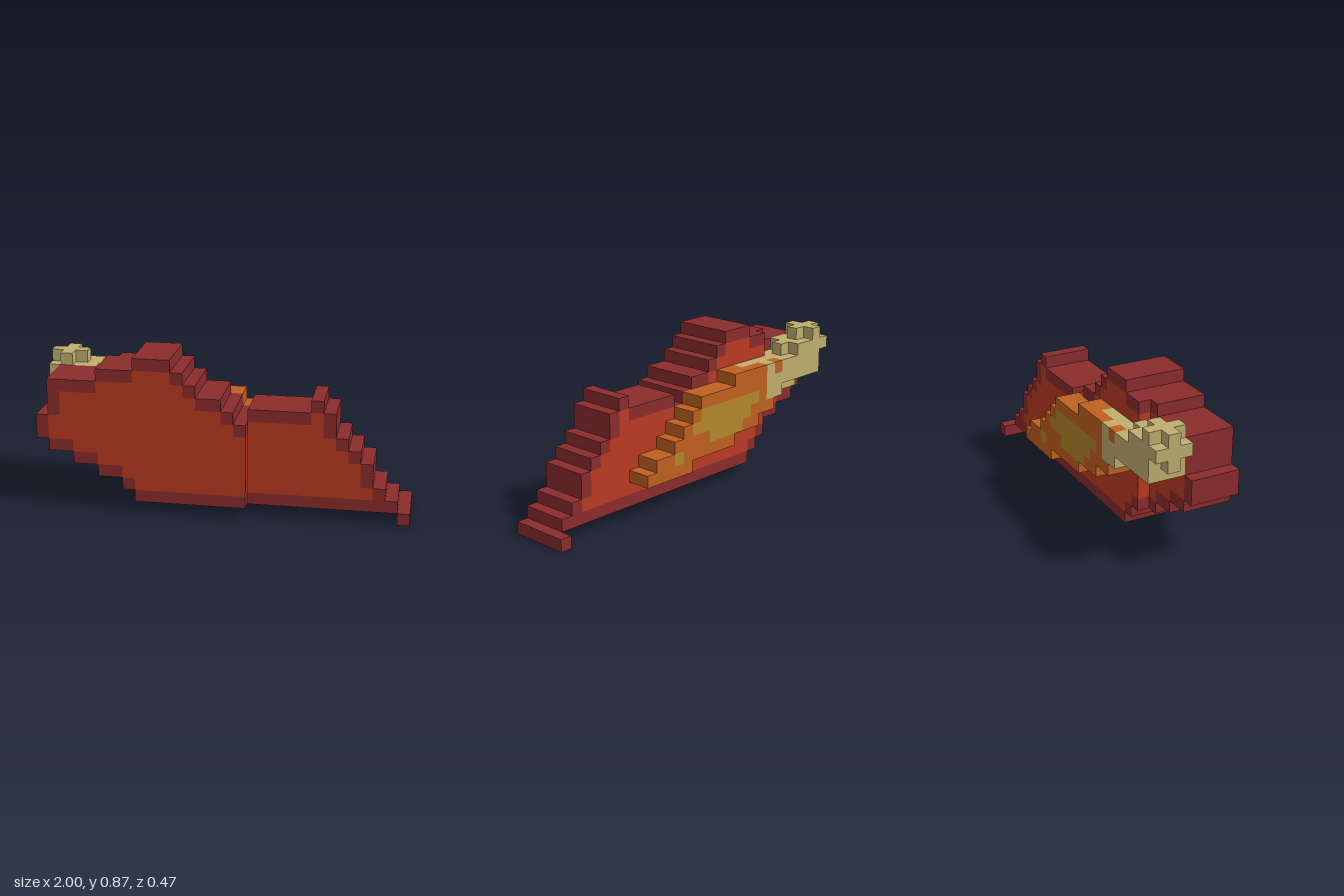
import * as THREE from 'three';
import { mergeGeometries } from 'three/addons/utils/BufferGeometryUtils.js';

const U = 1 / 15; // cell size
const ORIGIN = new THREE.Vector3(-1, 0, -3.5 * U);

const paint = (name, color) => {
  const m = new THREE.MeshStandardMaterial({ color });
  m.name = name;
  return m;
};

// Expand [first, last, bottom, top] runs into a per-column lookup
function columns(runs) {
  const out = {};
  for (const [a, b, lo, hi] of runs) for (let i = a; i <= b; i++) out[i] = [lo, hi];
  return out;
}

// Six face directions, each with the rotation that turns a +z plane towards it
const FACES = [
  [1, 0, 0, 0, Math.PI / 2], [-1, 0, 0, 0, -Math.PI / 2],
  [0, 1, 0, -Math.PI / 2, 0], [0, -1, 0, Math.PI / 2, 0],
  [0, 0, 1, 0, 0], [0, 0, -1, 0, Math.PI],
];

export function createModel() {
  const mats = {
    border: paint('dark red', 0x8b2c2d),
    panel: paint('red', 0xbb3a22),
    blade: paint('orange', 0xc06020),
    inlay: paint('gold', 0xb38728),
    handle: paint('tan', 0xbfae6f),
  };
  const cells = new Map();
  const put = (i, j, k, part) => cells.set(`${i},${j},${k}`, { i, j, k, part });

  // Main body: stepped outline, dark rim around a red panel
  const body = columns([
    [0, 0, 6, 8], [1, 2, 5, 11], [3, 4, 4, 11], [5, 5, 3, 12], [6, 6, 3, 12],
    [7, 7, 2, 12], [8, 10, 1, 13], [11, 11, 1, 12], [12, 12, 1, 11],
    [13, 14, 1, 10], [15, 15, 1, 9], [16, 16, 1, 8], [17, 21, 1, 9],
    [22, 22, 1, 10], [23, 23, 1, 9], [24, 24, 1, 7], [25, 25, 1, 6],
    [26, 26, 1, 5], [27, 27, 1, 3], [28, 28, 1, 2], [29, 29, 0, 1],
  ]);
  const inBody = (i, j) => !!body[i] && j >= body[i][0] && j < body[i][1];
  for (let i = 0; i < 30; i++) {
    const k0 = i < 6 ? 3 : i === 29 ? 1 : 2;
    const k1 = i < 17 ? 6 : 5;
    for (let j = body[i][0]; j < body[i][1]; j++) {
      const inner = inBody(i - 1, j) && inBody(i + 1, j) && inBody(i, j - 1) && inBody(i, j + 1);
      for (let k = k0; k <= k1; k++) put(i, j, k, inner ? 'panel' : 'border');
    }
  }

  // Blade on the back, two cells thick
  const blade = columns([
    [6, 6, 7, 10], [7, 8, 6, 10], [9, 11, 5, 10], [12, 15, 4, 9], [16, 16, 4, 8],
    [17, 17, 3, 8], [18, 18, 3, 7], [19, 20, 3, 5], [21, 21, 3, 4],
  ]);
  blade[15] = [4, 9];
  blade[17] = [3, 7];
  blade[18] = [3, 6];
  for (let i = 6; i <= 21; i++)
    for (let j = blade[i][0]; j < blade[i][1]; j++)
      for (let k = 0; k < 2; k++) put(i, j, k, 'blade');

  // Gold inlay on the outer blade face: [row, first, last]
  for (const [j, a, b] of [[7, 9, 15], [6, 10, 16], [5, 11, 14], [4, 18, 18]])
    for (let i = a; i <= b; i++) put(i, j, 0, 'inlay');

  // Tan collar cells where handle meets blade
  for (const [i, j, k] of [[6, 7, 0], [6, 8, 0], [7, 8, 0], [7, 9, 0], [6, 9, 1], [7, 9, 1], [8, 9, 1], [9, 9, 1], [7, 7, 0]])
    put(i, j, k, 'handle');

  // Handle: layers rising towards the end, topped by a cross
  for (const [j, a, b] of [[10, 0, 3], [9, 0, 5], [8, 1, 5]])
    for (let i = a; i <= b; i++)
      for (let k = 0; k < 3; k++)
        if (!(i === 0 && k !== 1 && j === 9)) put(i, j, k, 'handle');
  for (const i of [3, 4, 5]) put(i, 7, 1, 'handle');
  put(4, 10, 1, 'handle');
  for (const [i, k] of [[1, 1], [0, 1], [2, 1], [1, 0], [1, 2]]) put(i, 11, k, 'handle');

  // Collect exposed faces for each part
  const quads = {};
  for (const { i, j, k, part } of cells.values()) {
    for (const [dx, dy, dz, rx, ry] of FACES) {
      if (cells.has(`${i + dx},${j + dy},${k + dz}`)) continue;
      const q = new THREE.PlaneGeometry(U, U).rotateX(rx).rotateY(ry);
      q.translate(
        ORIGIN.x + (i + 0.5 + dx / 2) * U,
        ORIGIN.y + (j + 0.5 + dy / 2) * U,
        ORIGIN.z + (k + 0.5 + dz / 2) * U,
      );
      (quads[part] ??= []).push(q);
    }
  }

  const names = { border: 'bodyRim', panel: 'bodyPanel', blade: 'blade', inlay: 'bladeInlay', handle: 'handle' };
  const group = new THREE.Group();
  group.name = 'model';
  for (const part in quads) {
    const mesh = new THREE.Mesh(mergeGeometries(quads[part]), mats[part]);
    mesh.name = names[part];
    group.add(mesh);
  }
  return group;
}
